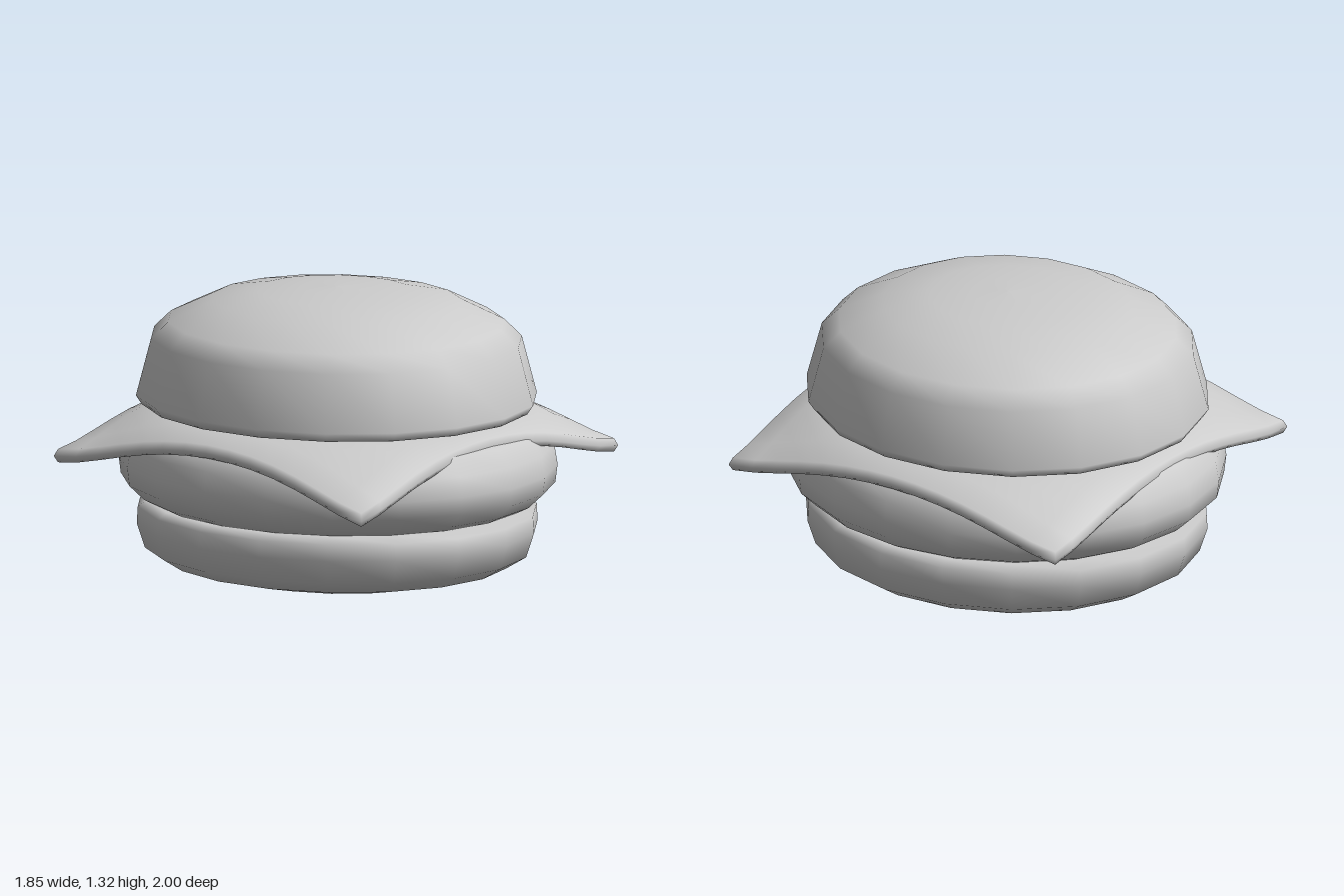
import * as THREE from 'three';
import { mergeVertices } from 'three/addons/utils/BufferGeometryUtils.js';

const material = new THREE.MeshStandardMaterial({ color: 0xcccccc });

// Round layer: profile of [radius fraction, y], stretched to an oval of rx by rz
function layer(name, profile, rx, rz, sides, turn, z) {
  const points = profile.map(([r, y]) => new THREE.Vector2(r, y));
  const geometry = new THREE.LatheGeometry(points, sides);
  geometry.rotateY(turn).scale(rx, 1, rz).translate(0, 0, z);
  const mesh = new THREE.Mesh(geometry, material);
  mesh.name = name;
  return mesh;
}

// Square slice that lies flat in the middle and droops at its four corners
function cheeseSlice() {
  const thickness = 0.06;
  let geometry = new THREE.BoxGeometry(2, thickness, 2, 14, 2, 14);
  geometry.deleteAttribute('normal');
  geometry.deleteAttribute('uv');
  geometry = mergeVertices(geometry);
  const p = geometry.attributes.position;
  for (let i = 0; i < p.count; i++) {
    const u = p.getX(i), v = p.getZ(i), y = p.getY(i);
    // Top and bottom faces are a little smaller, which rounds the rim
    const inset = Math.abs(y) > 0.01 ? 0.985 : 1;
    const x = u * (0.9 - 0.015 * v * v) * inset;
    const z = v * (0.9 - 0.015 * u * u) * inset - 0.012;
    const sag = THREE.MathUtils.smoothstep(Math.hypot(x, z), 0.7, 1.27);
    // The front right corner hangs lowest
    const depth = 0.185 + 0.03 * Math.max(0, -u * v) * (v > 0 ? 2 : 0.5);
    p.setXYZ(i, x, 0.762 + y - depth * sag, z);
  }
  geometry.computeVertexNormals();
  const mesh = new THREE.Mesh(geometry, material);
  mesh.name = 'cheeseSlice';
  return mesh;
}

export function createModel() {
  const burger = new THREE.Group();
  burger.name = 'burger';

  burger.add(layer('bottomBun', [
    [0, 0.005], [0.3, 0.018], [0.56, 0.035], [0.86, 0.095], [0.96, 0.15],
    [1, 0.26], [0.995, 0.335], [0.95, 0.365], [0.7, 0.375], [0, 0.375],
  ], 0.85, 0.92, 18, 0.08, -0.005));

  burger.add(layer('patty', [
    [0, 0.35], [0.7, 0.355], [0.86, 0.365], [0.92, 0.395], [0.99, 0.46],
    [1, 0.54], [0.985, 0.63], [0.925, 0.71], [0.8, 0.735], [0, 0.74],
  ], 0.925, 1, 20, 0, 0));

  burger.add(cheeseSlice());

  burger.add(layer('topBun', [
    [0, 0.785], [0.7, 0.785], [0.97, 0.795], [1, 0.835], [0.925, 1.09],
    [0.84, 1.165], [0.62, 1.26], [0.39, 1.3], [0.18, 1.315], [0, 1.32],
  ], 0.85, 0.92, 18, 0.08, -0.01));

  return burger;
}
